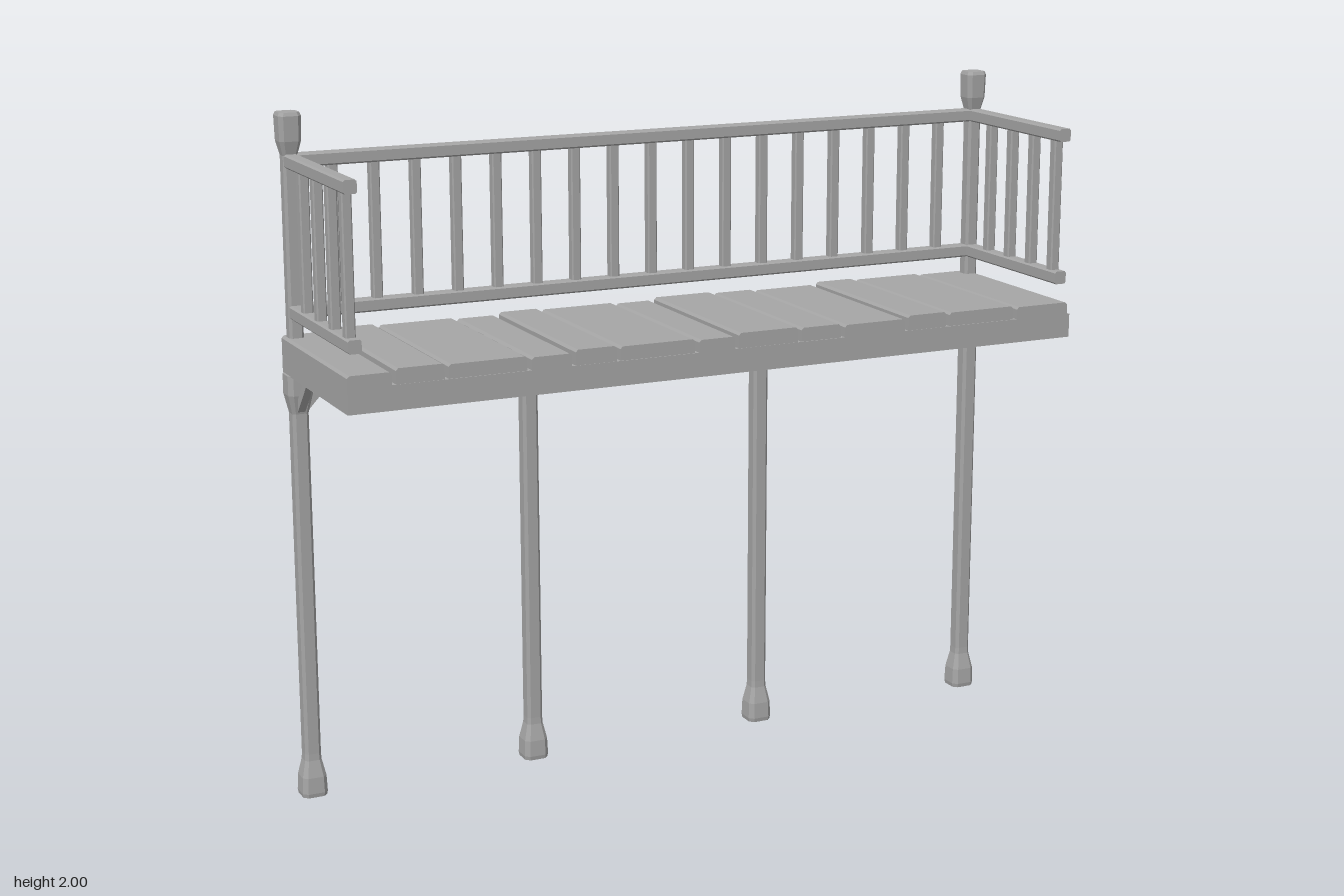
import * as THREE from 'three';

const wood = new THREE.MeshStandardMaterial({ color: 0xa6a6a6 });
wood.name = 'greyWood';

// Square bar with chamfered corners, lofted through [halfWidth, y] rings
function chamferedBar(rings, chamfer = 0.65) {
  const pts = rings.map(([r, y]) => new THREE.Vector2(r, y));
  pts.unshift(new THREE.Vector2(0, rings[0][1]));
  pts.push(new THREE.Vector2(0, rings[rings.length - 1][1]));
  const lathe = new THREE.LatheGeometry(pts, 8, Math.PI / 8);
  const p = lathe.attributes.position;
  for (let i = 0; i < p.count; i++) {
    const x = p.getX(i), z = p.getZ(i), r = Math.hypot(x, z);
    const push = (v) => Math.sign(v) * r * (Math.abs(v) > 0.6 * r ? 1 : chamfer);
    p.setX(i, push(x));
    p.setZ(i, push(z));
  }
  const flat = lathe.toNonIndexed();
  flat.computeVertexNormals();
  return flat;
}

export function createModel() {
  const model = new THREE.Group();
  model.name = 'balcony';
  const deck = new THREE.Group();
  deck.name = 'diagonalDeck';
  deck.rotation.y = Math.PI / 4;
  model.add(deck);

  function add(name, geometry, x, y, z) {
    const mesh = new THREE.Mesh(geometry, wood);
    mesh.name = name;
    mesh.position.set(x, y, z);
    deck.add(mesh);
    return mesh;
  }

  const L = 1.131, W = 0.283; // half length and half width
  const backZ = -0.248, endX = 1.102;

  // Solid frame under the planks
  add('deckFrame', new THREE.BoxGeometry(2 * L, 0.07, 2 * W), 0, 1.295, 0);

  // Planks of varied width with bevelled top edges
  const seams = [-1.131, -1.0, -0.85, -0.61, -0.48, -0.345, -0.105, 0.02, 0.22, 0.36, 0.57, 0.71, 0.94, 1.128];
  for (let i = 0; i < seams.length - 1; i++) {
    const a = seams[i] + (i ? 0.006 : 0), b = seams[i + 1] - 0.006;
    const top = 0.04 + 0.004 * ((i * 2) % 3 - 1), c = 0.007;
    const profile = new THREE.Shape([
      [a, 0], [b, 0], [b, top - c], [b - c, top], [a + c, top], [a, top - c],
    ].map(([x, y]) => new THREE.Vector2(x, y)));
    const depth = 2 * W - 0.003 * (i % 3);
    add('plank', new THREE.ExtrudeGeometry(profile, { depth, bevelEnabled: false }), 0, 1.33, -depth / 2);
  }

  // Support posts with flared foot and head
  const postGeometry = chamferedBar([
    [0.036, 0], [0.038, 0.012], [0.036, 0.06], [0.025, 0.11], [0.024, 0.13],
    [0.024, 1.15], [0.036, 1.205], [0.036, 1.262],
  ]);
  const braceGeometry = new THREE.BoxGeometry(0.022, 0.14, 0.022);
  [-endX, -0.403, 0.357, endX].forEach((x, i) => {
    add('supportPost', postGeometry, x, 0, backZ + 0.007);
    // Diagonal braces: along the back edge and toward the front
    for (const s of [-1, 1]) {
      if ((i === 0 && s < 0) || (i === 3 && s > 0)) continue;
      add('brace', braceGeometry, x + s * 0.066, 1.215, backZ + 0.007).rotation.z = -s * 0.75;
    }
    add('brace', braceGeometry, x, 1.215, backZ + 0.073).rotation.x = 0.75;
  });

  // Corner posts above the deck with wide caps
  const cornerGeometry = chamferedBar([
    [0.021, 1.33], [0.021, 1.88], [0.031, 1.92], [0.033, 1.99], [0.029, 2],
  ]);
  for (const s of [-1, 1]) add('cornerPost', cornerGeometry, s * endX, 0, backZ);

  // Rails along the back and both ends
  const endLength = 0.52;
  const railBar = (len) => chamferedBar([[0.019, -len / 2], [0.019, len / 2]], 0.75);
  const backRail = railBar(2 * endX).rotateZ(Math.PI / 2);
  const endRail = railBar(endLength).rotateX(Math.PI / 2);
  for (const y of [1.44, 1.865]) {
    add('backRail', backRail, 0, y, backZ);
    for (const s of [-1, 1]) add('endRail', endRail, s * endX, y, backZ + endLength / 2);
  }

  // Balusters
  const baluster = chamferedBar([[0.0145, 1.44], [0.0145, 1.865]], 0.75);
  for (let i = 1; i <= 17; i++) add('backBaluster', baluster, -endX + (i * 2 * endX) / 18, 0, backZ);
  for (const s of [-1, 1])
    for (let i = 1; i <= 4; i++) add('endBaluster', baluster, s * endX, 0, backZ + i * 0.119);

  return model;
}
